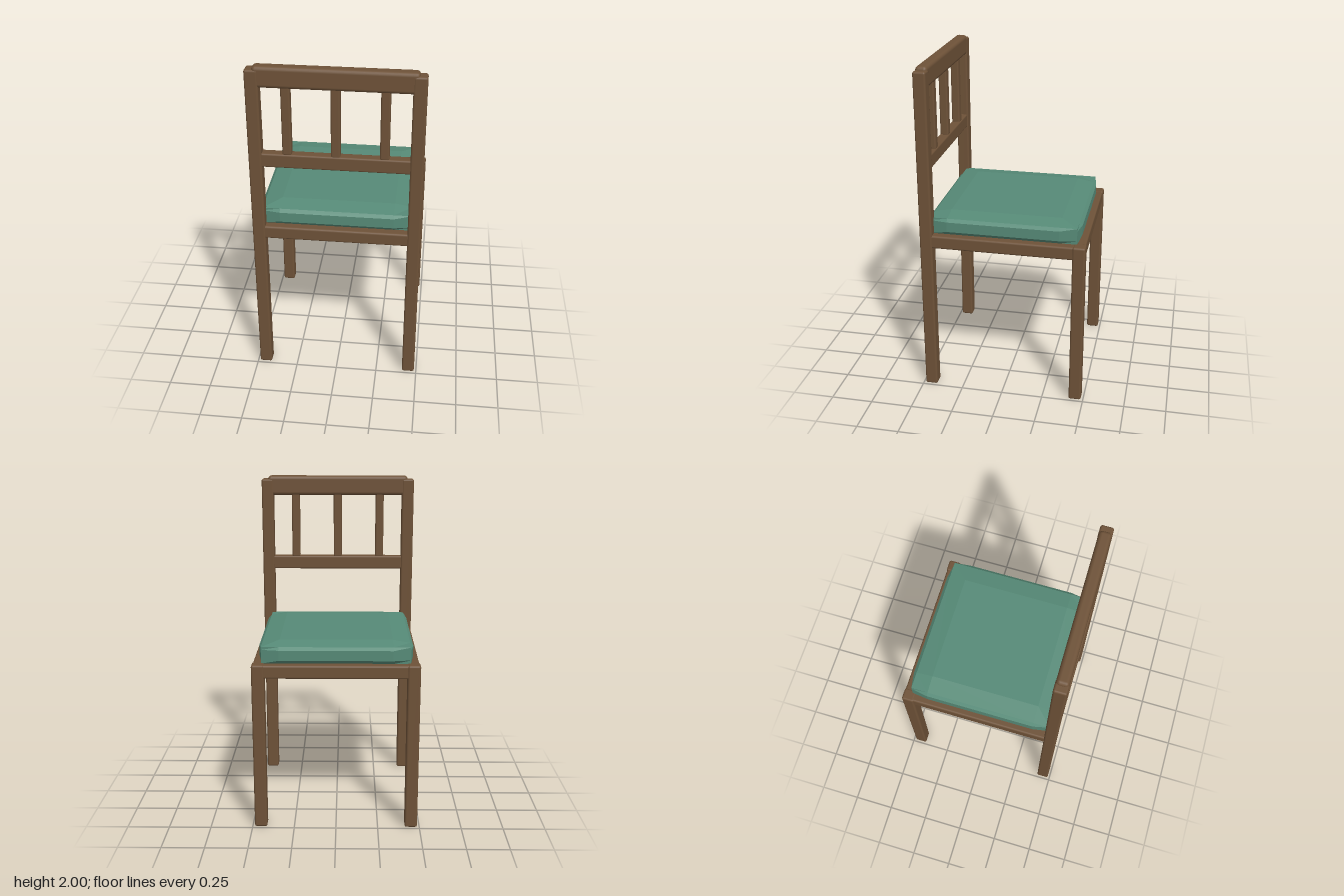
import * as THREE from 'three';
import { RoundedBoxGeometry } from 'three/addons/geometries/RoundedBoxGeometry.js';

const wood = new THREE.MeshStandardMaterial({ color: 0x6e5238 });
wood.name = 'brownWood';
const fabric = new THREE.MeshStandardMaterial({ color: 0x568a77 });
fabric.name = 'greenFabric';

// Softly bevelled timber given by its lower and upper corners
function timber(name, [x0, y0, z0], [x1, y1, z1], bevel) {
  const geometry = new RoundedBoxGeometry(x1 - x0, y1 - y0, z1 - z0, 2, bevel);
  const mesh = new THREE.Mesh(geometry, wood);
  mesh.position.set((x0 + x1) / 2, (y0 + y1) / 2, (z0 + z1) / 2);
  mesh.name = name;
  return mesh;
}

// Box whose side and top faces swell outwards away from the edges
function cushionGeometry() {
  const geometry = new THREE.BoxGeometry(3, 3, 3, 3, 3, 3).toNonIndexed();
  const p = geometry.attributes.position;
  const across = [-0.432, -0.33, 0.33, 0.432];
  const heights = [1.008, 1.03, 1.09, 1.107];
  for (let i = 0; i < p.count; i++) {
    const [a, b, c] = [p.getX(i), p.getY(i), p.getZ(i)].map(v => Math.round(v + 1.5));
    const inner = k => k === 1 || k === 2;
    let x = across[a], y = heights[b], z = across[c];
    if (!inner(a) && inner(b) && inner(c)) x += Math.sign(x) * 0.018;
    if (!inner(c) && inner(a) && inner(b)) z += Math.sign(z) * 0.018;
    if (b === 3 && inner(a) && inner(c)) y += 0.018;
    p.setXYZ(i, x, y, z);
  }
  geometry.computeVertexNormals();
  return geometry;
}

export function createModel() {
  const chair = new THREE.Group();
  chair.name = 'chair';

  // Legs: the tall pair carries the backrest
  for (const side of [-1, 1]) {
    const x0 = side < 0 ? -0.487 : 0.412, x1 = x0 + 0.075;
    const label = side < 0 ? 'right' : 'left';
    chair.add(timber(label + 'TallPost', [x0, 0, 0.412], [x1, 1.98, 0.487], 0.012));
    chair.add(timber(label + 'ShortLeg', [x0, 0, -0.487], [x1, 1.012, -0.412], 0.012));
  }

  // Solid seat base and its cushion
  chair.add(timber('seatBase', [-0.482, 0.93, -0.483], [0.482, 1.01, 0.483], 0.012));
  const cushion = new THREE.Mesh(cushionGeometry(), fabric);
  cushion.name = 'seatCushion';
  chair.add(cushion);

  // Backrest rails and slats
  chair.add(timber('topRail', [-0.447, 1.877, 0.414], [0.447, 2, 0.485], 0.022));
  chair.add(timber('lowerBackRail', [-0.43, 1.4, 0.42], [0.43, 1.484, 0.479], 0.01));
  for (const x of [-0.27, 0, 0.27]) {
    chair.add(timber('backSlat', [x - 0.026, 1.478, 0.424], [x + 0.026, 1.9, 0.475], 0.01));
  }
  return chair;
}
